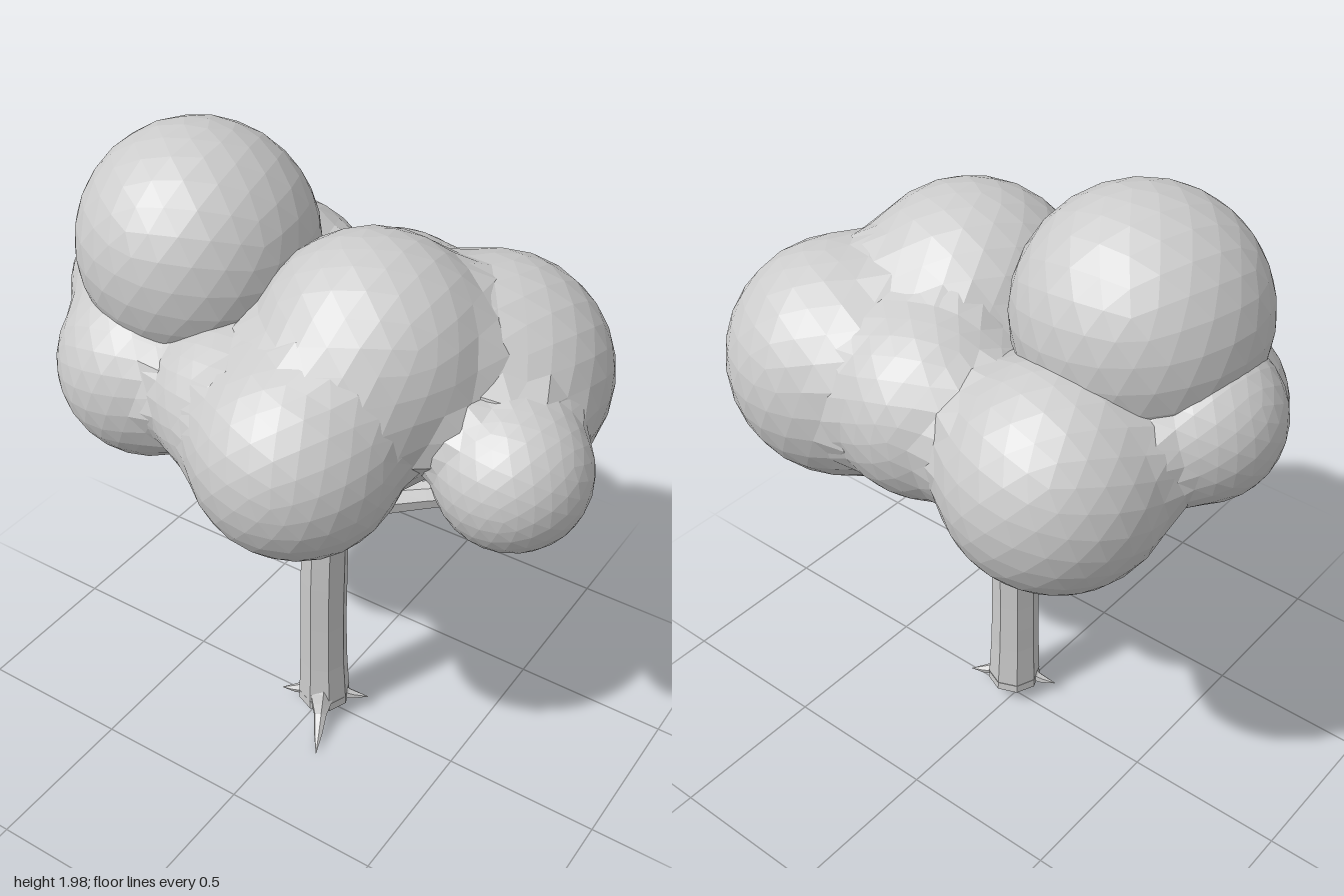
import * as THREE from 'three';

const material = new THREE.MeshStandardMaterial({ color: 0xcccccc, flatShading: true, side: THREE.DoubleSide });

// Leaf clumps: x, y, z, radius
const CLUMPS = [
  [0.18, 1.48, 0.02, 0.345],    // centre
  [0.13, 1.31, 0.315, 0.30],    // front
  [-0.12, 1.335, 0.25, 0.235],  // front bridge
  [-0.47, 1.305, 0.18, 0.28],   // front right-hand side
  [-0.62, 1.43, 0.0, 0.23],     // outer small
  [-0.38, 1.31, -0.30, 0.325],  // back
  [0.05, 1.36, -0.30, 0.285],   // back bridge
  [0.40, 1.34, -0.27, 0.35],    // back left-hand side
  [0.63, 1.26, 0.02, 0.22],     // outer small
];
const CROWN = [-0.40, 1.65, 0.025, 0.35];

// Smooth union distance to all blended clumps
function foliageDistance(p) {
  const k = 0.025;
  let sum = 0;
  for (const [x, y, z, r] of CLUMPS) {
    sum += Math.exp(-(Math.hypot(p.x - x, p.y - y, p.z - z) - r) / k);
  }
  return -k * Math.log(sum);
}

// Faceted ball, optionally swollen where it meets its neighbours
function clump([x, y, z, r], blend) {
  const geometry = new THREE.IcosahedronGeometry(r, 4);
  geometry.rotateX(x * 5).rotateY(z * 7 + y);
  geometry.translate(x, y, z);
  if (blend) {
    const pos = geometry.attributes.position;
    const centre = new THREE.Vector3(x, y, z);
    const p = new THREE.Vector3(), dir = new THREE.Vector3();
    for (let i = 0; i < pos.count; i++) {
      p.fromBufferAttribute(pos, i);
      dir.subVectors(p, centre).normalize();
      let swell = 0;
      for (let n = 0; n < 6; n++) {
        const step = Math.max(0, Math.min(-foliageDistance(p), 0.05 - swell));
        swell += step;
        p.addScaledVector(dir, step);
      }
      pos.setXYZ(i, p.x, p.y, p.z);
    }
    geometry.computeVertexNormals();
  }
  return new THREE.Mesh(geometry, material);
}

// Tapering tube; radii are spread evenly along its length
function limb(name, points, radii, sides = 7) {
  const curve = new THREE.CatmullRomCurve3(points.map((p) => new THREE.Vector3(...p)));
  const rows = (radii.length - 1) * 2;
  const geometry = new THREE.TubeGeometry(curve, rows, 1, sides);
  const pos = geometry.attributes.position;
  const p = new THREE.Vector3();
  for (let i = 0; i <= rows; i++) {
    const c = curve.getPointAt(i / rows);
    const a = Math.floor(i / 2), b = Math.ceil(i / 2);
    const r = (radii[a] + radii[b]) / 2;
    for (let j = 0; j <= sides; j++) {
      const v = i * (sides + 1) + j;
      p.fromBufferAttribute(pos, v).sub(c).multiplyScalar(r).add(c);
      pos.setXYZ(v, p.x, p.y, p.z);
    }
  }
  geometry.computeVertexNormals();
  const mesh = new THREE.Mesh(geometry, material);
  mesh.name = name;
  return mesh;
}

export function createModel() {
  const tree = new THREE.Group();
  tree.name = 'tree';

  // Foliage
  const foliage = new THREE.Group();
  foliage.name = 'foliage';
  CLUMPS.forEach((c, i) => {
    const mesh = clump(c, true);
    mesh.name = `leafClump${i + 1}`;
    foliage.add(mesh);
  });
  const crown = clump(CROWN, false);
  crown.name = 'crownClump';
  foliage.add(crown);
  tree.add(foliage);

  // Trunk, closed underneath
  tree.add(limb('trunk',
    [[0.02, 0.07, 0.015], [0.02, 0.3, 0.02], [0.025, 0.6, 0.025], [0.03, 0.85, 0.025], [0.015, 1.12, 0.03]],
    [0.085, 0.078, 0.075, 0.075, 0.073, 0.075, 0.06], 8));
  const base = new THREE.Mesh(new THREE.CylinderGeometry(0.085, 0.06, 0.05, 8), material);
  base.name = 'trunkBase';
  base.position.set(0.02, 0.075, 0.015);
  tree.add(base);

  // Branches
  tree.add(limb('rightBranch', [[0.03, 0.86, 0.025], [-0.03, 1.02, 0.03], [-0.17, 1.12, 0.02], [-0.34, 1.24, 0.0]],
    [0.06, 0.055, 0.045, 0.035]));
  tree.add(limb('leftBranch', [[0.03, 0.86, 0.02], [0.14, 0.94, 0.02], [0.34, 1.05, 0.015], [0.58, 1.17, 0.01]],
    [0.06, 0.048, 0.04, 0.036]));

  // Roots
  const roots = [
    ['frontRoot', [0.12, 0.018, 0.215]],
    ['rightRoot', [-0.11, 0.07, 0.07]],
    ['leftRoot', [0.15, 0.07, -0.05]],
  ];
  for (const [name, tip] of roots) {
    const [x, y, z] = tip;
    const mid = [0.02 + (x - 0.02) * 0.5, y * 0.5 + 0.05, 0.02 + (z - 0.02) * 0.5];
    tree.add(limb(name, [[0.02, 0.16, 0.02], mid, tip], [0.06, 0.045, 0.022, 0.014, 0.001], 6));
  }
  return tree;
}
